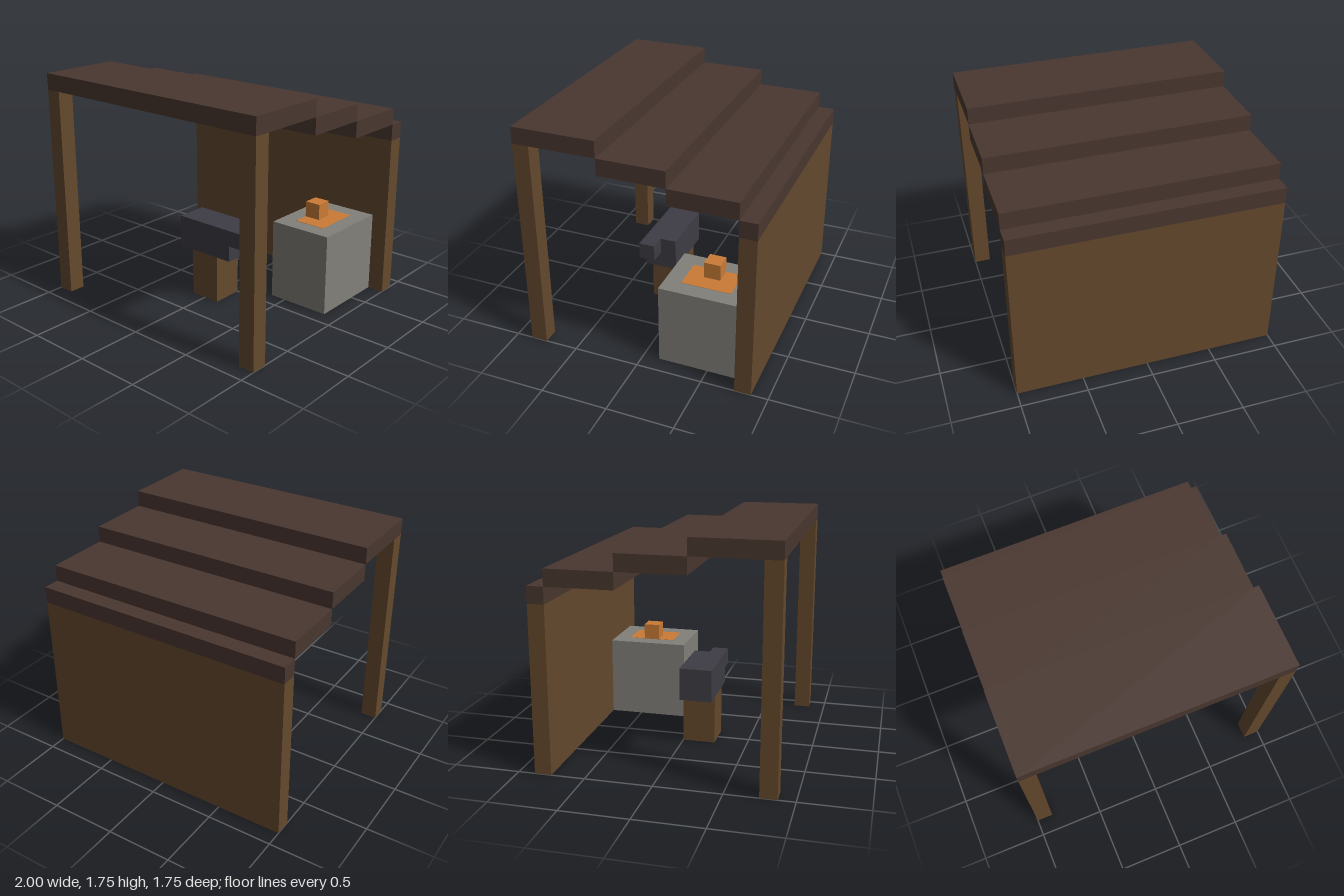
import * as THREE from 'three';

export function createModel() {
  const group = new THREE.Group();
  const material = (name, color) => {
    const m = new THREE.MeshStandardMaterial({ color });
    m.name = name;
    return m;
  };
  const timber = material('timber', 0x65492d);
  const roofWood = material('dark roof wood', 0x4a3730);
  const stone = material('stone', 0x82807a);
  const iron = material('iron', 0x3e3d45);
  const ember = material('ember', 0xca7b36);

  // Box given by its extents along each axis
  function block(name, mat, [x0, x1], [y0, y1], [z0, z1], parent = group) {
    const mesh = new THREE.Mesh(new THREE.BoxGeometry(x1 - x0, y1 - y0, z1 - z0), mat);
    mesh.position.set((x0 + x1) / 2, (y0 + y1) / 2, (z0 + z1) / 2);
    mesh.name = name;
    parent.add(mesh);
  }

  // Stepped roof, descending towards the back
  const roof = new THREE.Group();
  roof.name = 'roof';
  group.add(roof);
  const edges = [0.875, 0.25, -0.25, -0.75, -0.875];
  for (let i = 0; i < 4; i++) {
    const top = 1.75 - i * 0.125;
    block('roofStep' + (i + 1), roofWood, [-1, 1], [top - 0.125, top], [edges[i + 1], edges[i]], roof);
  }

  // Back wall and front posts
  block('backWall', timber, [-1, 1], [0, 1.25], [-0.875, -0.75]);
  block('leftPost', timber, [0.875, 1], [0, 1.625], [0.75, 0.875]);
  block('rightPost', timber, [-1, -0.875], [0, 1.625], [0.75, 0.875]);

  // Anvil on its stump, with the horn along the front edge
  const anvil = new THREE.Group();
  anvil.name = 'anvil';
  group.add(anvil);
  block('stump', timber, [-0.125, 0.125], [0, 0.375], [0, 0.25], anvil);
  block('anvilBody', iron, [-0.25, 0.25], [0.375, 0.625], [0, 0.25], anvil);
  block('anvilHorn', iron, [0.25, 0.375], [0.5, 0.625], [0.125, 0.25], anvil);

  // Stone forge with glowing coals
  const forge = new THREE.Group();
  forge.name = 'forge';
  group.add(forge);
  block('forgeBase', stone, [0.375, 0.875], [0, 0.625], [-0.75, -0.125], forge);
  block('coalBed', ember, [0.5, 0.75], [0.623, 0.627], [-0.625, -0.25], forge);
  block('flame', ember, [0.5, 0.625], [0.625, 0.75], [-0.5, -0.375], forge);

  return group;
}
